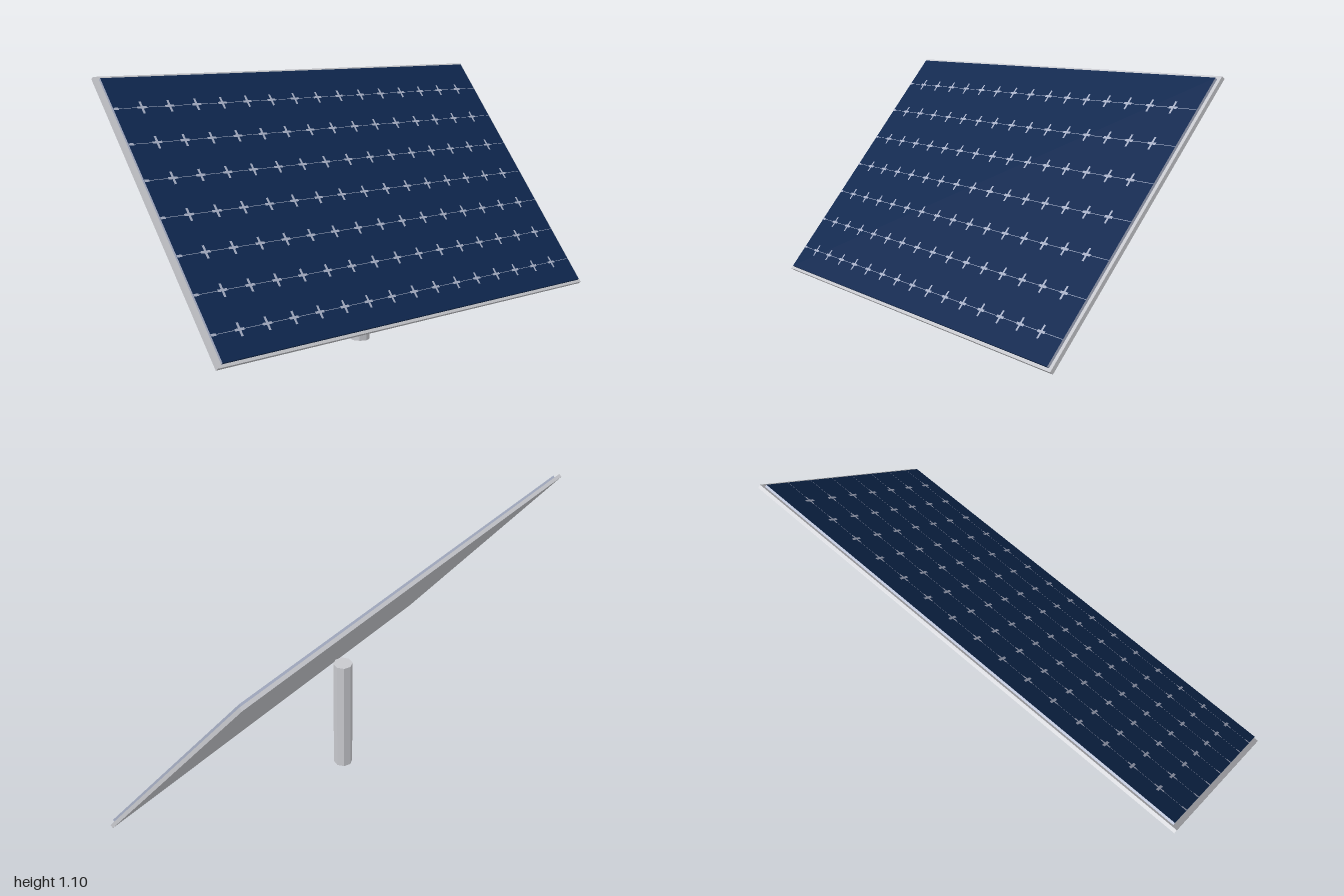
import * as THREE from 'three';

export function createModel() {
  const model = new THREE.Group();
  const material = (name, color) => {
    const m = new THREE.MeshStandardMaterial({ color });
    m.name = name;
    return m;
  };
  const metal = material('aluminium', 0xc8c9ce);
  const navy = material('cell blue', 0x0f2850);
  const silver = material('contact silver', 0xa8b0c6);

  const add = (parent, name, geometry, mat, x, y, z) => {
    const mesh = new THREE.Mesh(geometry, mat);
    mesh.name = name;
    mesh.position.set(x, y, z);
    parent.add(mesh);
    return mesh;
  };

  // Eight-sided post, standing just clear of the panel
  const post = new THREE.CylinderGeometry(0.04, 0.04, 0.525, 8).toNonIndexed();
  post.computeVertexNormals();
  add(model, 'post', post, metal, -0.002, 0.2625, 0.007);

  // Tilted panel; local z = 0 is the front of the backing frame
  const panel = new THREE.Group();
  panel.name = 'panel';
  panel.position.set(0, 0.626, 0.007);
  panel.rotation.x = THREE.MathUtils.degToRad(-38);
  model.add(panel);
  add(panel, 'backingFrame', new THREE.BoxGeometry(2, 1.206, 0.015), metal, 0, 0, -0.0075);

  // Cell sheet: silver edges on the sides and top, dark elsewhere
  const depth = 0.01, left = -0.98, right = 0.984;
  add(panel, 'cellSheet', new THREE.BoxGeometry(right - left, 1.18, depth),
    [silver, silver, silver, navy, navy, navy], (left + right) / 2, -0.001, depth / 2);

  // Contact crosses at the cell corners, joined by hairlines along each row
  const arm = 0.021, rise = 0.027, half = 0.005;
  const cross = new THREE.Shape([
    [-arm, -half], [-half, -half], [-half, -rise], [half, -rise], [half, -half], [arm, -half],
    [arm, half], [half, half], [half, rise], [-half, rise], [-half, half], [-arm, half],
  ].map(([x, y]) => new THREE.Vector2(x, y)));
  const crossGeometry = new THREE.ShapeGeometry(cross);
  const stubGeometry = new THREE.PlaneGeometry(arm, half * 2);
  const lineGeometry = new THREE.PlaneGeometry(right - left, 0.002);
  const front = depth + 0.001;
  for (let row = 0; row < 7; row++) {
    const y = -0.486 + row * 0.156;
    add(panel, 'rowLine', lineGeometry, silver, (left + right) / 2, y, front);
    add(panel, 'edgeContact', stubGeometry, silver, left + arm / 2, y, front + 0.0005);
    for (let col = 0; col < 15; col++) {
      add(panel, 'contactCross', crossGeometry, silver, -0.858 + col * 0.123, y, front + 0.0005);
    }
  }
  return model;
}
